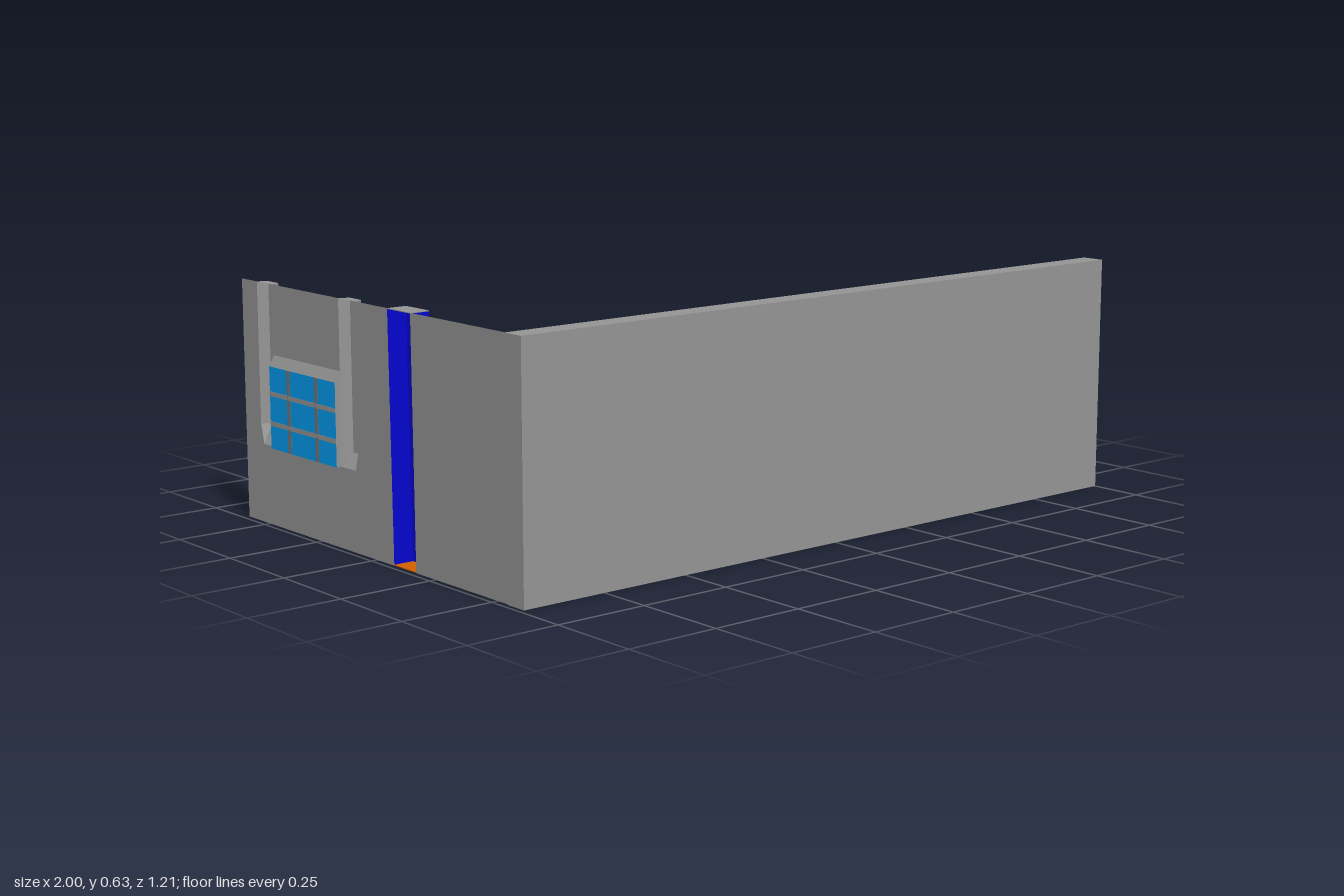
import * as THREE from 'three';

const H = 0.635;      // wall height
const WALL_X = -0.983; // plane of the side wall
const MID = -0.302;   // window centre line in z

const material = (color) => new THREE.MeshStandardMaterial({ color, flatShading: true, side: THREE.DoubleSide });

export function createModel() {
  const group = new THREE.Group();
  const grey = material(0x949494);
  const midGrey = material(0x747474);
  const darkGrey = material(0x484848);
  const blue = material(0x0404cc);
  const cyan = material(0x0099ec);
  const orange = material(0xd06000);

  const add = (name, geometry, mat) => {
    const mesh = new THREE.Mesh(geometry, mat);
    mesh.name = name;
    group.add(mesh);
  };

  // Flat sheet facing +x, outlined by [z, y] points
  const sheet = (x, outline) => {
    const g = new THREE.ShapeGeometry(new THREE.Shape(outline.map(([z, y]) => new THREE.Vector2(-z, y))));
    g.rotateY(Math.PI / 2);
    g.translate(x, 0, 0);
    return g;
  };

  // Open skirt joining two [z, y] loops at different depths
  const skirt = (x0, loop0, x1, loop1) => {
    const pos = [];
    loop0.forEach(([z, y], i) => {
      const j = (i + 1) % loop0.length;
      const a = [x0, y, z];
      const b = [x0, loop0[j][1], loop0[j][0]];
      const c = [x1, loop1[j][1], loop1[j][0]];
      const d = [x1, loop1[i][1], loop1[i][0]];
      pos.push(...a, ...b, ...c, ...a, ...c, ...d);
    });
    const g = new THREE.BufferGeometry();
    g.setAttribute('position', new THREE.Float32BufferAttribute(pos, 3));
    g.computeVertexNormals();
    return g;
  };

  const rect = (z0, z1, y0, y1) => [[z0, y0], [z1, y0], [z1, y1], [z0, y1]];
  const mirror = (loop) => loop.map(([z, y]) => [2 * MID - z, y]).reverse();

  // Long front wall, its end standing just proud of the side wall
  const front = new THREE.BoxGeometry(1.986, H, 0.063);
  front.translate(0.007, H / 2, 0.5735);
  add('frontWall', front, grey);

  // Thin side wall, open behind the pillar, the posts and the window
  add('sideWallFront', sheet(WALL_X, [[0.545, 0], [0.169, 0], [0.164, H], [0.545, H]]), grey);
  const notch = [[-0.073, H], [-0.073, 0.262], [-0.086, 0.21]];
  add('sideWallBack', sheet(WALL_X, [
    [0.075, 0], [0.067, H], ...notch, ...mirror(notch), [-0.605, H], [-0.605, 0],
  ]), grey);
  add('wallAboveWindow', sheet(WALL_X, rect(-0.456, -0.148, 0.452, H)), grey);

  // Blue pillar with a grey top and an orange underside
  const PILLAR_X = -0.928;
  const pillarLoop = [[0.169, 0.002], [0.075, 0.002], [0.067, H - 0.002], [0.164, H - 0.002]];
  add('pillarSides', skirt(WALL_X, pillarLoop, PILLAR_X, pillarLoop), blue);
  add('pillarFace', sheet(PILLAR_X, pillarLoop), blue);
  const plate = (name, y, z0, z1, mat) => {
    const g = new THREE.BoxGeometry(PILLAR_X - WALL_X, 0.002, z1 - z0);
    g.translate((PILLAR_X + WALL_X) / 2, y, (z0 + z1) / 2);
    add(name, g, mat);
  };
  plate('pillarTop', H - 0.001, 0.067, 0.164, grey);
  plate('pillarUnderside', 0.0015, 0.075, 0.169, orange);

  // Pointed decoration with two bright stripes on the pillar
  add('pillarInlay', sheet(PILLAR_X + 0.001, [
    [0.151, H], [0.151, 0.268], [0.1185, 0.247], [0.086, 0.268], [0.086, H],
  ]), darkGrey);
  for (const [z0, z1] of [[0.141, 0.128], [0.109, 0.096]]) {
    add('pillarStripe', sheet(PILLAR_X + 0.002, rect(z1, z0, 0.262, H)), orange);
  }

  // Chamfered posts on either side of the window
  const postBase = [[-0.073, H], [-0.073, 0.262], [-0.086, 0.21], [-0.148, 0.21], [-0.148, H]];
  const postFace = [[-0.086, H], [-0.086, 0.262], [-0.086, 0.245], [-0.135, 0.245], [-0.135, H]];
  for (const side of [(p) => p, mirror]) {
    add('windowPostSides', skirt(WALL_X, side(postBase), -0.957, side(postFace)), grey);
    add('windowPostFace', sheet(-0.957, side(rect(-0.135, -0.086, 0.245, H))), grey);
  }

  // Window set outwards, with a sloping head
  const PANE_X = -0.999;
  const paneLoop = rect(-0.456, -0.148, 0.21, 0.425);
  add('windowRecess', skirt(WALL_X, rect(-0.456, -0.148, 0.21, 0.452), PANE_X, paneLoop), grey);
  add('windowPane', sheet(PANE_X, paneLoop), cyan);

  // Glazing bars, the upright ones darker and set behind the level ones
  const bar = (name, depth, y, z, h, w, mat) => {
    const g = new THREE.BoxGeometry(depth, h, w);
    g.translate(PANE_X + depth / 2 - 0.001, y, z);
    add(name, g, mat);
  };
  for (const y of [0.354, 0.276]) bar('horizontalBar', 0.009, y, MID, 0.012, 0.308, grey);
  for (const z of [-0.2355, -0.3655]) bar('verticalBar', 0.006, 0.3175, z, 0.215, 0.014, midGrey);

  return group;
}
